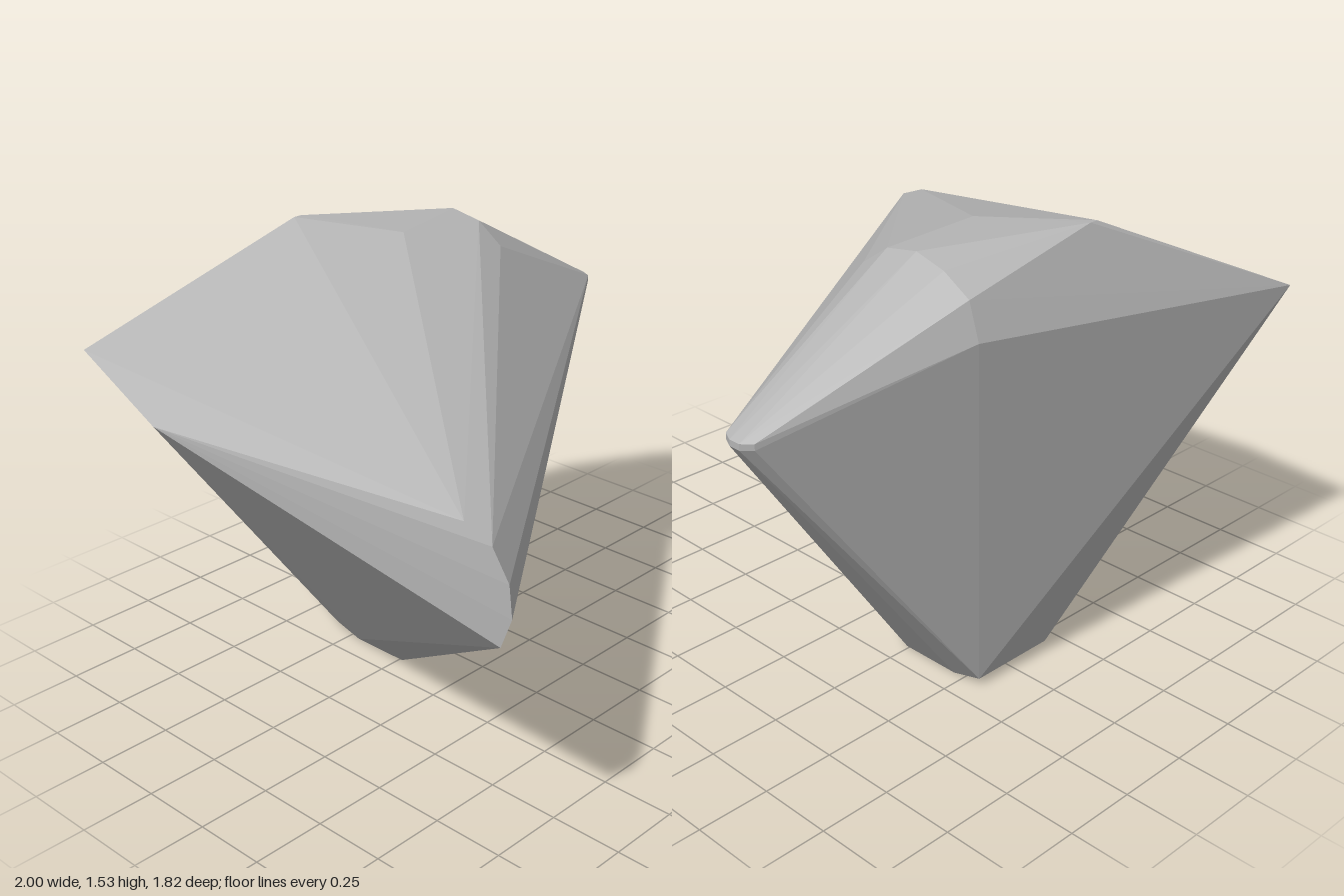
import * as THREE from 'three';
import { ConvexGeometry } from 'three/addons/geometries/ConvexGeometry.js';

export function createModel() {
  const group = new THREE.Group();
  group.name = 'facetedHull';
  const points = [];
  const add = (x, y, z) => points.push(new THREE.Vector3(x, y, z));

  // narrow base, mirrored left and right
  for (const x of [-0.16, 0.16]) {
    for (const [y, z] of [[0, -0.24], [0, -0.46], [0.03, -0.57]]) add(x, y, z);
  }
  // rounded front tip
  for (const [y, z] of [[0.81, 0.87], [0.91, 0.91], [1.01, 0.9], [1.1, 0.84], [1.14, 0.74]]) {
    add(-0.88, y, z);
  }
  // rounded tip on the +x side
  for (const [x, z] of [[0.97, -0.47], [1, -0.44], [1, -0.4], [0.98, -0.36]]) {
    add(x, 1.12, z);
    add(x, 1.1, z);
  }
  // back corner and -x corner
  add(-0.89, 1.2, -0.91);
  add(-1, 1.11, -0.42);
  // ridge along the top
  add(-0.18, 1.53, -0.68);
  add(-0.15, 1.53, -0.68);
  add(0, 1.505, -0.35);
  // arched shoulder
  for (const [y, z] of [[1.41, -0.22], [1.48, -0.32], [1.5, -0.44], [1.47, -0.55], [1.41, -0.65], [1.29, -0.69]]) {
    add(0.33, y, z);
  }

  const grey = new THREE.MeshStandardMaterial({ color: 0xb4b4b4 });
  grey.name = 'grey';
  const hull = new THREE.Mesh(new ConvexGeometry(points), grey);
  hull.name = 'hull';
  group.add(hull);
  return group;
}
